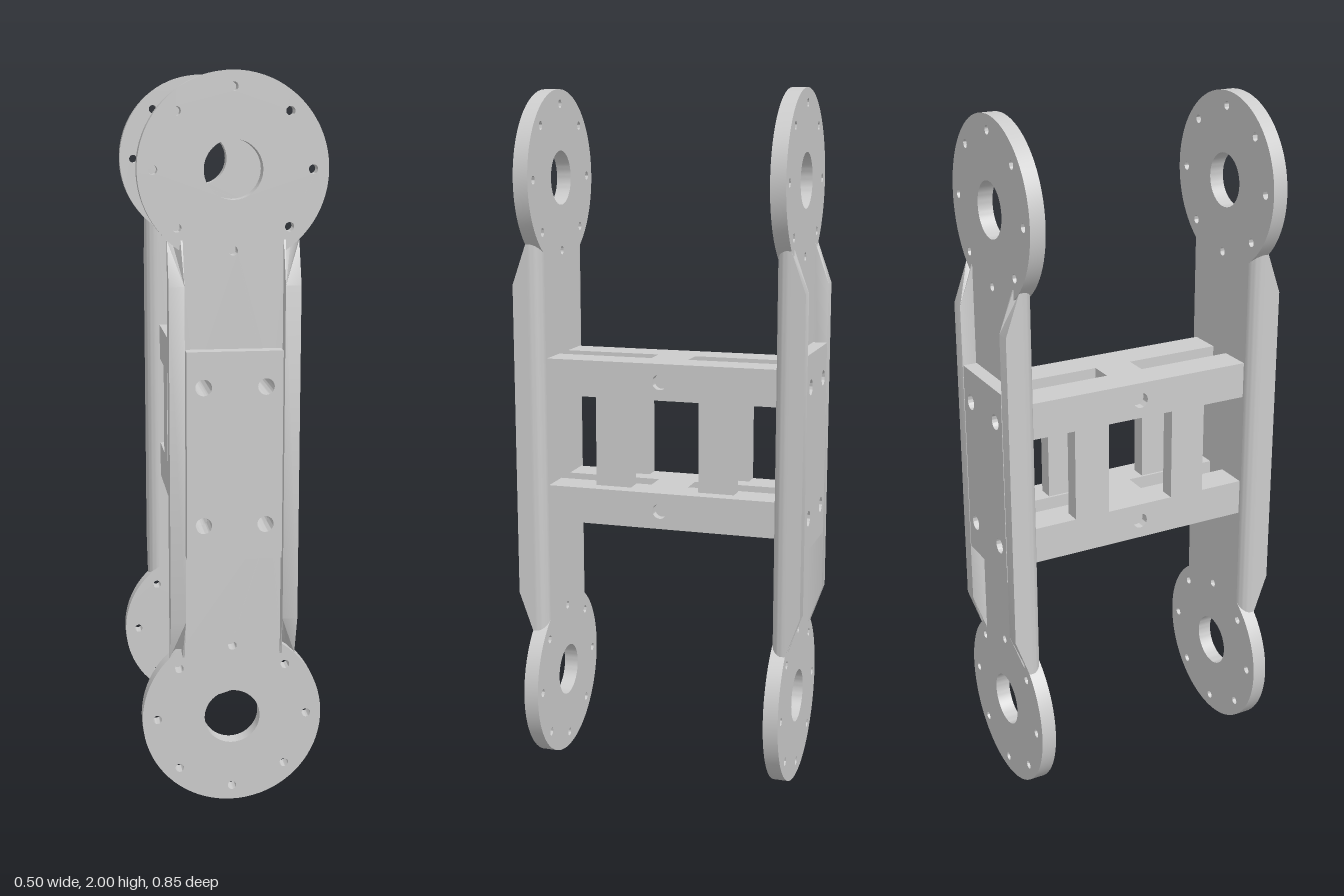
import * as THREE from 'three';
import { toCreasedNormals } from 'three/addons/utils/BufferGeometryUtils.js';

const material = new THREE.MeshStandardMaterial({ color: 0xcccccc });
const PLATE_IN = 0.34, PLATE_OUT = 0.383, PAD_OUT = 0.424;
const RAIL_YS = [0.815, 1.19], BOLT_X = 0.083, BOLT_R = 0.022;

function addMesh(parent, geometry, name, x = 0, y = 0, z = 0) {
  const mesh = new THREE.Mesh(geometry, material);
  mesh.name = name;
  mesh.position.set(x, y, z);
  parent.add(mesh);
  return mesh;
}

function rectShape(x0, y0, x1, y1) {
  return new THREE.Shape([
    new THREE.Vector2(x0, y0), new THREE.Vector2(x1, y0),
    new THREE.Vector2(x1, y1), new THREE.Vector2(x0, y1),
  ]);
}

function addHole(shape, x, y, r) {
  shape.holes.push(new THREE.Path().absarc(x, y, r, 0, Math.PI * 2, true));
}

function extrude(shape, depth) {
  const g = new THREE.ExtrudeGeometry(shape, { depth, bevelEnabled: false, curveSegments: 32 });
  return toCreasedNormals(g, 0.6);
}

function addBoltHoles(shape) {
  for (const x of [-BOLT_X, BOLT_X]) for (const y of RAIL_YS) addHole(shape, x, y, BOLT_R);
}

// Web with a bored disc at each end
function plateGeometry() {
  const R = 0.249, yLow = 0.25, yHigh = 1.75, a = Math.asin(0.138 / R), q = Math.PI / 2;
  const shape = new THREE.Shape();
  shape.absarc(0, yHigh, R, a - q, 3 * q - a, false);
  shape.absarc(0, yLow, R, q + a, 5 * q - a, false);
  for (const y of [yLow, yHigh]) {
    addHole(shape, 0, y, 0.077);
    for (let i = 0; i < 8; i++) {
      const t = i * Math.PI / 4;
      addHole(shape, 0.208 * Math.cos(t), y + 0.208 * Math.sin(t), 0.012);
    }
  }
  addBoltHoles(shape);
  return extrude(shape, PLATE_OUT - PLATE_IN);
}

// Folded edge: rounded bend on the inside, lip outward, ends sloped
function flangeGeometry(side) {
  const r = 0.035, points = [];
  for (let i = 0; i <= 8; i++) {
    const t = (i / 8) * Math.PI / 2;
    points.push([0.138 + r * Math.sin(t), PLATE_IN + r - r * Math.cos(t)]);
  }
  points.push([0.173, PLATE_OUT], [0.173, PAD_OUT], [0.132, PAD_OUT], [0.132, PLATE_OUT], [0.138, PLATE_OUT]);
  const shape = new THREE.Shape(points.map(([x, z]) => new THREE.Vector2(side * x, -z)));
  const g = new THREE.ExtrudeGeometry(shape, { depth: 2, bevelEnabled: false });
  g.translate(0, 0, -1).rotateX(-Math.PI / 2);
  const p = g.attributes.position;
  for (let i = 0; i < p.count; i++) {
    p.setY(i, 1 + Math.sign(p.getY(i)) * (p.getZ(i) > 0.4 ? 0.455 : 0.57));
  }
  return toCreasedNormals(g, 0.6);
}

function sidePlate(name) {
  const group = new THREE.Group();
  group.name = name;
  addMesh(group, plateGeometry(), 'plate', 0, 0, PLATE_IN);
  for (const side of [-1, 1]) addMesh(group, flangeGeometry(side), 'flange');
  const pad = rectShape(-0.128, 0.72, 0.128, 1.285);
  addBoltHoles(pad);
  addMesh(group, extrude(pad, PAD_OUT - PLATE_OUT), 'boltPad', 0, 0, PLATE_OUT);
  return group;
}

// Two bored rails joined by a short bar in the middle
function railFrame(y, name) {
  const group = new THREE.Group(), h = 0.0525, length = PLATE_IN * 2, split = 0.107;
  group.name = name;
  group.position.y = y;
  for (const side of [-1, 1]) {
    const ends = [side * 0.035, side * split].sort((m, n) => m - n);
    const core = rectShape(ends[0], -h, ends[1], h);
    addHole(core, side * BOLT_X, 0, BOLT_R);
    addMesh(group, extrude(core, length), 'railCore', 0, 0, -PLATE_IN);
    // Outer wall with the cross hole
    const wall = rectShape(-PLATE_IN, -h, PLATE_IN, h);
    addHole(wall, 0, 0, BOLT_R);
    const depth = 0.132 - split;
    const mesh = addMesh(group, extrude(wall, depth), 'railWall', side * split);
    mesh.rotation.y = side * Math.PI / 2;
  }
  addMesh(group, new THREE.BoxGeometry(0.07, h * 2, 0.112), 'crossBar');
  return group;
}

export function createModel() {
  const model = new THREE.Group();
  model.name = 'linkFrame';
  model.add(sidePlate('frontPlate'));
  const back = sidePlate('backPlate');
  back.rotation.y = Math.PI;
  model.add(back);
  model.add(railFrame(RAIL_YS[0], 'lowerFrame'), railFrame(RAIL_YS[1], 'upperFrame'));
  // Upright posts between the two frames
  for (const x of [-0.109, 0.065]) {
    for (const z of [-0.155, 0.155]) {
      addMesh(model, new THREE.BoxGeometry(0.046, 0.272, 0.106), 'post', x, 1.0025, z);
    }
  }
  return model;
}
